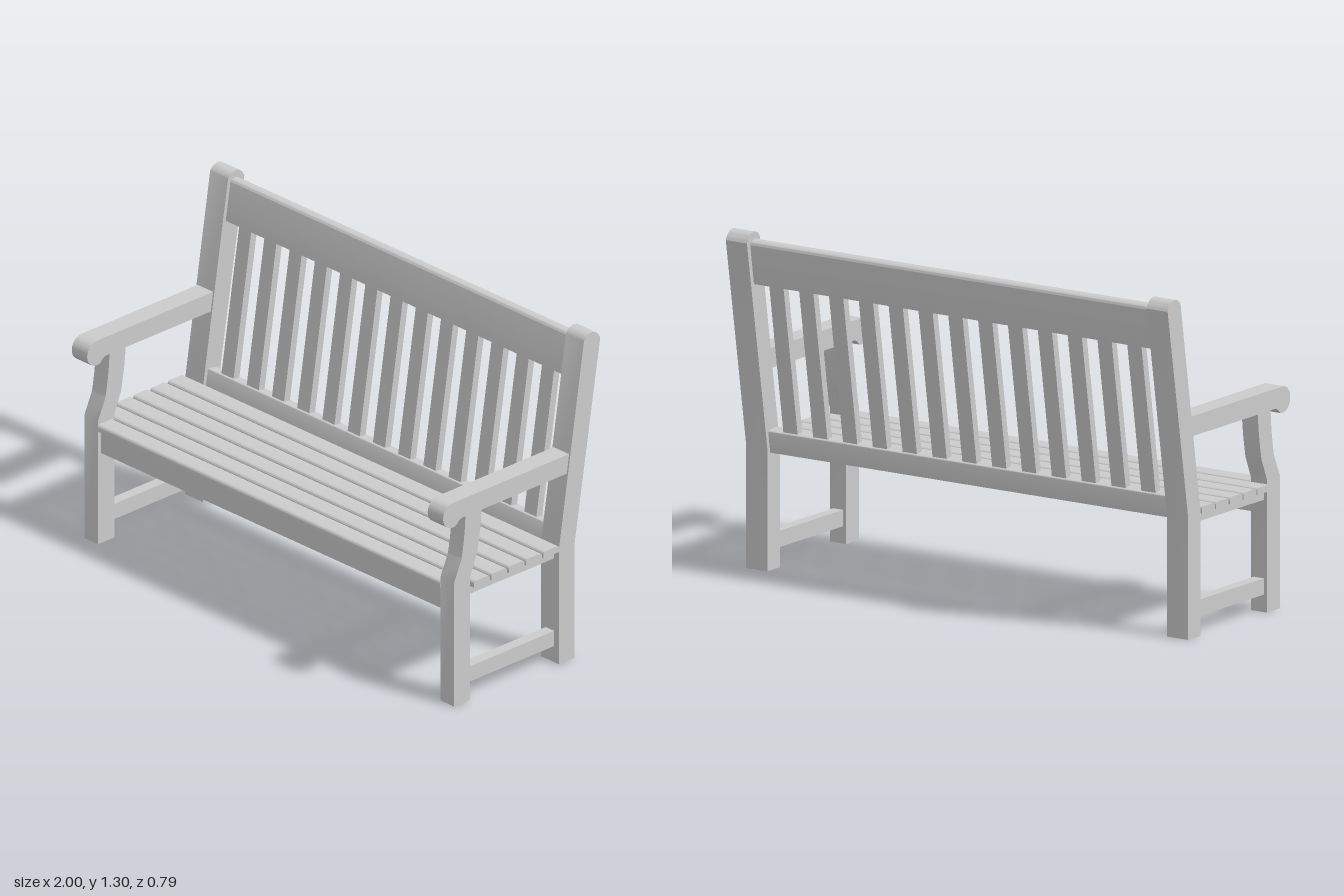
import * as THREE from 'three';
import { toCreasedNormals } from 'three/addons/utils/BufferGeometryUtils.js';

const material = new THREE.MeshStandardMaterial({ color: 0xcccccc });
const LEAN = 0.158; // backward run of the backrest per unit of height
const TILT = Math.atan(LEAN);
const backZ = (y) => -0.226 - LEAN * (y - 0.468);

// Extrude a side profile (shape x = model z, shape y = model y) across x, centred on x = 0
function sideExtrude(shape, width) {
  const geo = new THREE.ExtrudeGeometry(shape, { depth: width, bevelEnabled: false, curveSegments: 14 });
  geo.translate(0, 0, -width / 2);
  geo.rotateY(-Math.PI / 2);
  return toCreasedNormals(geo, 0.5);
}

function add(parent, name, geo, x = 0, y = 0, z = 0) {
  const mesh = new THREE.Mesh(geo, material);
  mesh.name = name;
  mesh.position.set(x, y, z);
  parent.add(mesh);
  return mesh;
}

// Rectangle with its two upper corners rounded
function roundedTop(w, h, r) {
  const s = new THREE.Shape();
  s.moveTo(-w / 2, -h / 2);
  s.lineTo(w / 2, -h / 2);
  s.lineTo(w / 2, h / 2 - r);
  s.absarc(w / 2 - r, h / 2 - r, r, 0, Math.PI / 2, false);
  s.lineTo(-w / 2 + r, h / 2);
  s.absarc(-w / 2 + r, h / 2 - r, r, Math.PI / 2, Math.PI, false);
  s.closePath();
  return s;
}

function rearPostShape() {
  const s = new THREE.Shape();
  s.moveTo(-0.266, 0);
  s.lineTo(-0.186, 0);
  s.lineTo(-0.186, 0.468);
  s.lineTo(-0.314, 1.278);
  s.bezierCurveTo(-0.33, 1.31, -0.378, 1.314, -0.397, 1.266);
  s.lineTo(-0.266, 0.466);
  s.closePath();
  return s;
}

function frontLegShape() {
  const s = new THREE.Shape();
  s.moveTo(0.255, 0);
  s.lineTo(0.338, 0);
  s.lineTo(0.338, 0.505);
  s.lineTo(0.301, 0.586);
  s.quadraticCurveTo(0.283, 0.67, 0.279, 0.77);
  s.lineTo(0.197, 0.77);
  s.quadraticCurveTo(0.2, 0.69, 0.221, 0.586);
  s.lineTo(0.255, 0.505);
  s.closePath();
  return s;
}

// Armrest with a scrolled front end
function armShape() {
  const s = new THREE.Shape();
  s.moveTo(-0.26, 0.762);
  s.lineTo(-0.26, 0.838);
  s.lineTo(0.348, 0.838);
  s.absarc(0.348, 0.788, 0.05, Math.PI / 2, -Math.PI * 0.6, true);
  s.quadraticCurveTo(0.315, 0.762, 0.298, 0.762);
  s.closePath();
  return s;
}

export function createModel() {
  const bench = new THREE.Group();
  bench.name = 'bench';

  // End frames, mirrored left and right
  const postGeo = sideExtrude(rearPostShape(), 0.095);
  const legGeo = sideExtrude(frontLegShape(), 0.072);
  const armGeo = sideExtrude(armShape(), 0.082);
  for (const side of [1, -1]) {
    const frame = new THREE.Group();
    frame.name = side > 0 ? 'leftEndFrame' : 'rightEndFrame';
    frame.position.x = side * 0.945;
    add(frame, 'rearPost', postGeo);
    add(frame, 'frontLeg', legGeo);
    add(frame, 'armrest', armGeo);
    add(frame, 'stretcher', new THREE.BoxGeometry(0.045, 0.062, 0.46), 0, 0.097, 0.035);
    add(frame, 'seatRail', new THREE.BoxGeometry(0.045, 0.04, 0.46), 0, 0.445, 0.035);
    bench.add(frame);
  }

  // Seat slats; the front one fits between the legs
  for (let i = 0; i < 6; i++) {
    const width = i === 0 ? 1.82 : 1.996;
    const geo = sideExtrude(roundedTop(0.081, 0.026, 0.012), width);
    add(bench, 'seatSlat', geo, 0, 0.476, 0.3005 - i * 0.0887);
  }
  add(bench, 'frontApron', new THREE.BoxGeometry(1.84, 0.1, 0.045), 0, 0.418, 0.3);

  // Leaning back: two rails and thirteen upright slats
  const lower = add(bench, 'lowerBackRail', sideExtrude(roundedTop(0.05, 0.085, 0.006), 1.82), 0, 0.492, backZ(0.492));
  const upper = add(bench, 'topBackRail', sideExtrude(roundedTop(0.05, 0.167, 0.018), 1.82), 0, 1.19, backZ(1.19));
  lower.rotation.x = upper.rotation.x = -TILT;
  const slatGeo = new THREE.BoxGeometry(0.064, 0.62, 0.03);
  for (let i = -6; i <= 6; i++) {
    const slat = add(bench, 'backSlat', slatGeo, i * 0.134, 0.82, backZ(0.82));
    slat.rotation.x = -TILT;
  }
  return bench;
}
